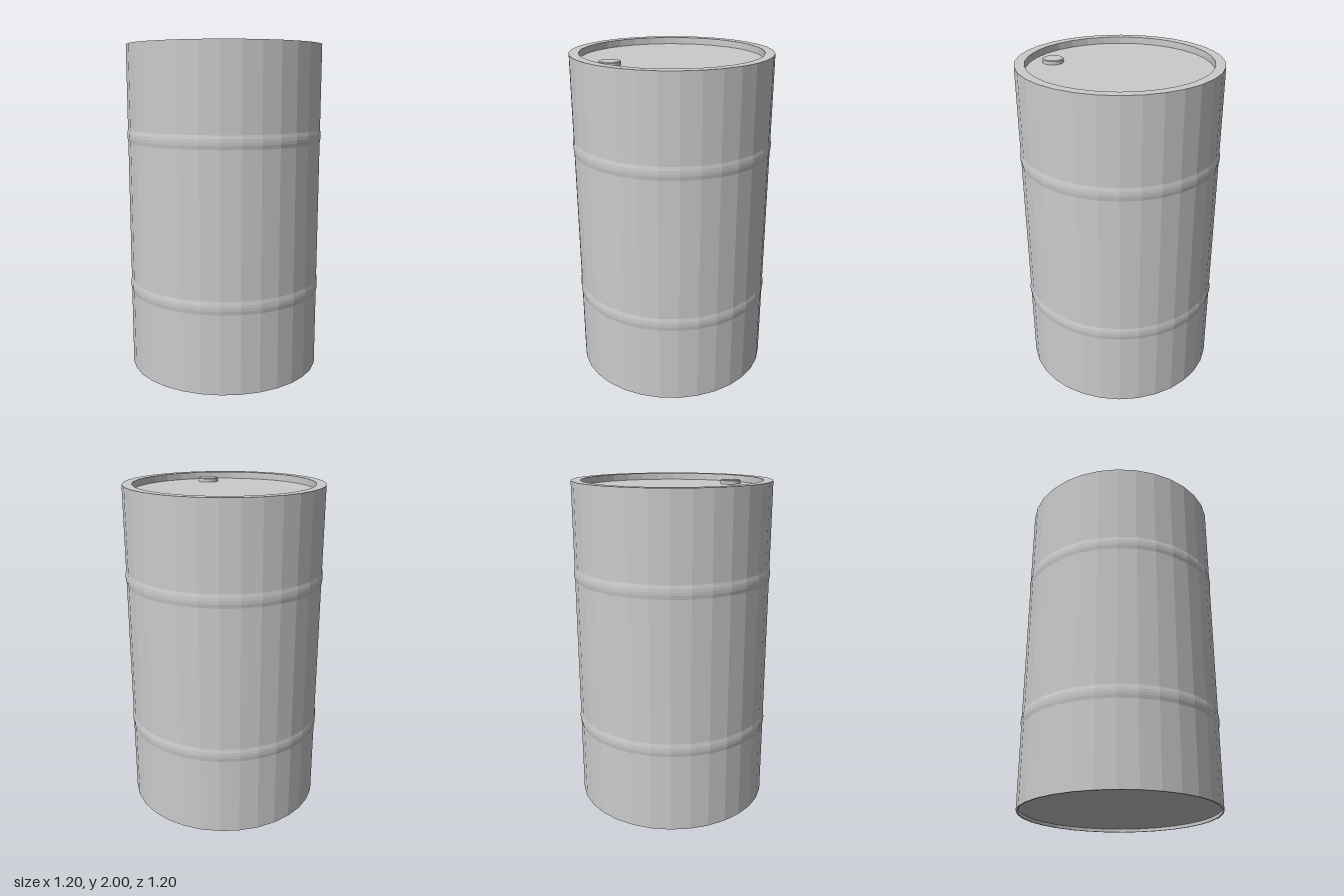
import * as THREE from 'three';

const SIDES = 32;
const RADIUS = 0.594;
const material = new THREE.MeshStandardMaterial({ color: 0xcccccc, flatShading: true });

// Turn a [radius, height] profile into a named mesh
function turned(name, profile, sides) {
  const points = profile.map(([r, y]) => new THREE.Vector2(r, y));
  const mesh = new THREE.Mesh(new THREE.LatheGeometry(points, sides), material);
  mesh.name = name;
  return mesh;
}

export function createModel() {
  const drum = new THREE.Group();
  drum.name = 'drum';

  // Rolling hoops, a slight ridge swelling out of the wall
  const hoop = (y) => [
    [RADIUS, y - 0.04], [RADIUS + 0.004, y - 0.018],
    [RADIUS + 0.005, y], [RADIUS + 0.004, y + 0.018], [RADIUS, y + 0.04],
  ];

  // Wall with a shallow foot rim below and a broad top rim
  drum.add(turned('body', [
    [0.585, 0.02], [0.585, 0], [RADIUS, 0],
    ...hoop(0.523), ...hoop(1.457),
    [RADIUS, 2], [0.537, 2], [0.537, 1.96],
  ], SIDES));

  // Recessed lid and base
  drum.add(turned('lid', [[0.537, 1.96], [0, 1.96]], SIDES));
  drum.add(turned('base', [[0, 0.02], [0.585, 0.02]], SIDES));

  // Filler cap near the front left edge
  const cap = turned('fillerCap', [[0.062, 0], [0.062, 0.02], [0.057, 0.024], [0, 0.024]], SIDES);
  cap.position.set(0.316, 1.96, 0.256);
  drum.add(cap);

  return drum;
}
